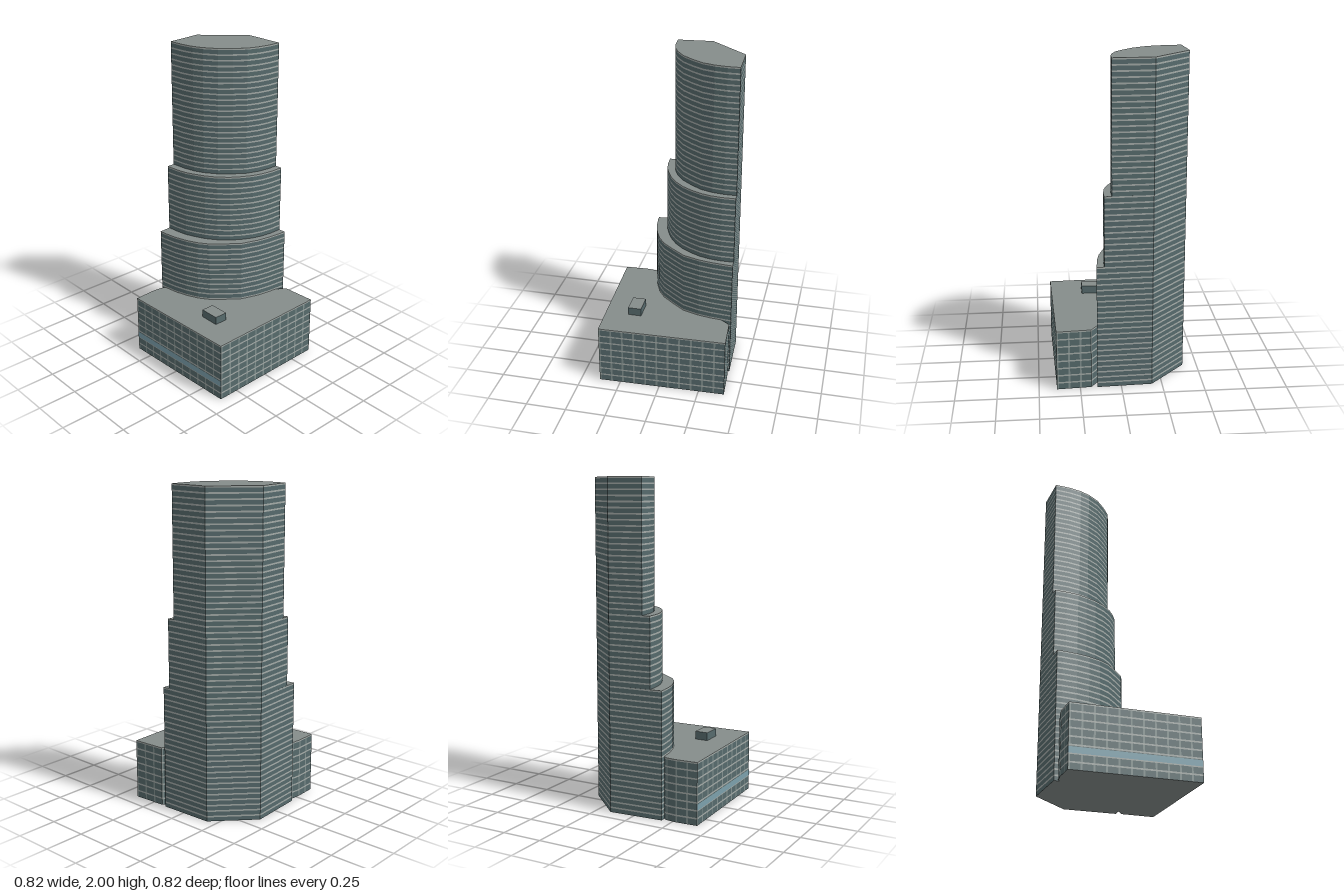
import * as THREE from 'three';

const mat = (color) => new THREE.MeshStandardMaterial({ color, flatShading: true });
const glass = mat(0x566a6c);
const spandrel = mat(0xa3aaa7);
const pier = mat(0x82918f);
const roofing = mat(0x858d8b);
const blueGlass = mat(0x7ba0ac);

// Mesh from a list of quad corners [x, y, z] x 4
function quadMesh(quads, material, name) {
  const pos = [];
  for (const [a, b, c, d] of quads) pos.push(...a, ...b, ...c, ...a, ...c, ...d);
  const g = new THREE.BufferGeometry();
  g.setAttribute('position', new THREE.Float32BufferAttribute(pos, 3));
  g.computeVertexNormals();
  const m = new THREE.Mesh(g, material);
  m.name = name;
  return m;
}

// Upright strip between plan points a and b (clockwise seen from above)
const strip = (a, b, y0, y1) => [
  [b[0], y0, b[1]], [a[0], y0, a[1]], [a[0], y1, a[1]], [b[0], y1, b[1]],
];
const mix = (a, b, t) => [a[0] + (b[0] - a[0]) * t, a[1] + (b[1] - a[1]) * t];

// Wall along an open plan path: window bands, light spandrels, optional piers
function facade(path, y0, y1, floors, band, bay = 0) {
  const windows = [], bands = [], piers = [];
  const h = (y1 - y0) / floors;
  for (let i = 0; i < path.length - 1; i++) {
    const a = path[i], b = path[i + 1];
    const len = Math.hypot(b[0] - a[0], b[1] - a[1]);
    const bays = bay ? Math.max(1, Math.round(len / bay)) : 1;
    const w = bay ? 0.16 : 0;
    for (let f = 0; f < floors; f++) {
      const y = y0 + f * h, mid = y + h * (1 - band);
      bands.push(strip(a, b, mid, y + h));
      for (let k = 0; k < bays; k++) {
        const p = mix(a, b, k / bays), q = mix(a, b, (k + 1 - w) / bays);
        windows.push(strip(p, q, y, mid));
        if (bay) piers.push(strip(q, mix(a, b, (k + 1) / bays), y, mid));
      }
    }
  }
  const g = new THREE.Group();
  g.name = 'facade';
  g.add(quadMesh(windows, glass, 'windows'), quadMesh(bands, spandrel, 'spandrels'));
  if (bay) g.add(quadMesh(piers, pier, 'piers'));
  return g;
}

// Flat cap over a plan outline, facing up or down
function cap(path, y, up, name) {
  const s = up ? -1 : 1;
  const shape = new THREE.Shape(path.map(([x, z]) => new THREE.Vector2(x, s * z)));
  const g = new THREE.ShapeGeometry(shape);
  g.rotateX(s * Math.PI / 2);
  g.translate(0, y, 0);
  const m = new THREE.Mesh(g, roofing);
  m.name = name;
  return m;
}

export function createModel() {
  const model = new THREE.Group();
  model.name = 'steppedTower';

  // Shared back corners, then the curved front of each tier
  const back = [[-0.412, -0.157], [-0.188, -0.39]];
  const upperCurve = [[0.057, -0.4], [0.057, -0.325], [0.045, -0.25], [0.02, -0.178], [-0.03, -0.108],
    [-0.088, -0.042], [-0.163, 0.01], [-0.225, 0.036], [-0.3, 0.053], [-0.397, 0.06]];
  const middleCurve = [[0.101, -0.402], [0.101, -0.32], [0.092, -0.25], [0.073, -0.185], [0.04, -0.12], [0, -0.06],
    [-0.055, -0.005], [-0.12, 0.04], [-0.185, 0.07], [-0.245, 0.093], [-0.32, 0.105], [-0.394, 0.11]];
  const lowerCurve = [[0.147, -0.403], [0.141, -0.34], [0.134, -0.27], [0.119, -0.19], [0.083, -0.085], [0.02, -0.005],
    [-0.045, 0.07], [-0.11, 0.115], [-0.185, 0.147], [-0.265, 0.17], [-0.355, 0.183], [-0.39, 0.185]];

  // Tower tiers, each standing on the wider one below
  const tiers = [
    ['lowerTier', lowerCurve, 0, 0.78, 22],
    ['middleTier', middleCurve, 0.78, 1.21, 12],
    ['upperTier', upperCurve, 1.21, 2, 23],
  ];
  for (const [name, curve, y0, y1, floors] of tiers) {
    const outline = [...back, ...curve];
    const tier = new THREE.Group();
    tier.name = name;
    tier.add(facade([...outline, outline[0]], y0, y1, floors, 0.28), cap(outline, y1, true, 'roof'));
    if (y0 === 0) tier.add(cap(outline, 0, false, 'underside'));
    model.add(tier);
  }

  // Podium wrapped around the curved front of the tower
  const outer = [lowerCurve[1], [0.182, -0.398], [0.391, -0.411], [0.41, 0.383],
    [-0.37, 0.409], [-0.377, 0.27], [-0.37, 0.205], lowerCurve[10]];
  const footprint = [...outer, ...lowerCurve.slice(2, 10).reverse()];
  const podium = new THREE.Group();
  podium.name = 'podium';
  podium.add(facade(outer, 0, 0.38, 8, 0.2, 0.07));
  podium.add(cap(footprint, 0.38, true, 'podiumRoof'), cap(footprint, 0, false, 'underside'));
  // Blue glazed band along the front
  podium.add(quadMesh([strip([0.41, 0.385], [-0.37, 0.411], 0.092, 0.128)], blueGlass, 'frontBand'));
  model.add(podium);

  // Plant room on the podium roof
  const plant = new THREE.Mesh(new THREE.BoxGeometry(0.125, 0.05, 0.083),
    [glass, glass, roofing, roofing, glass, glass]);
  plant.name = 'plantRoom';
  plant.position.set(0.146, 0.405, 0.202);
  model.add(plant);

  return model;
}
